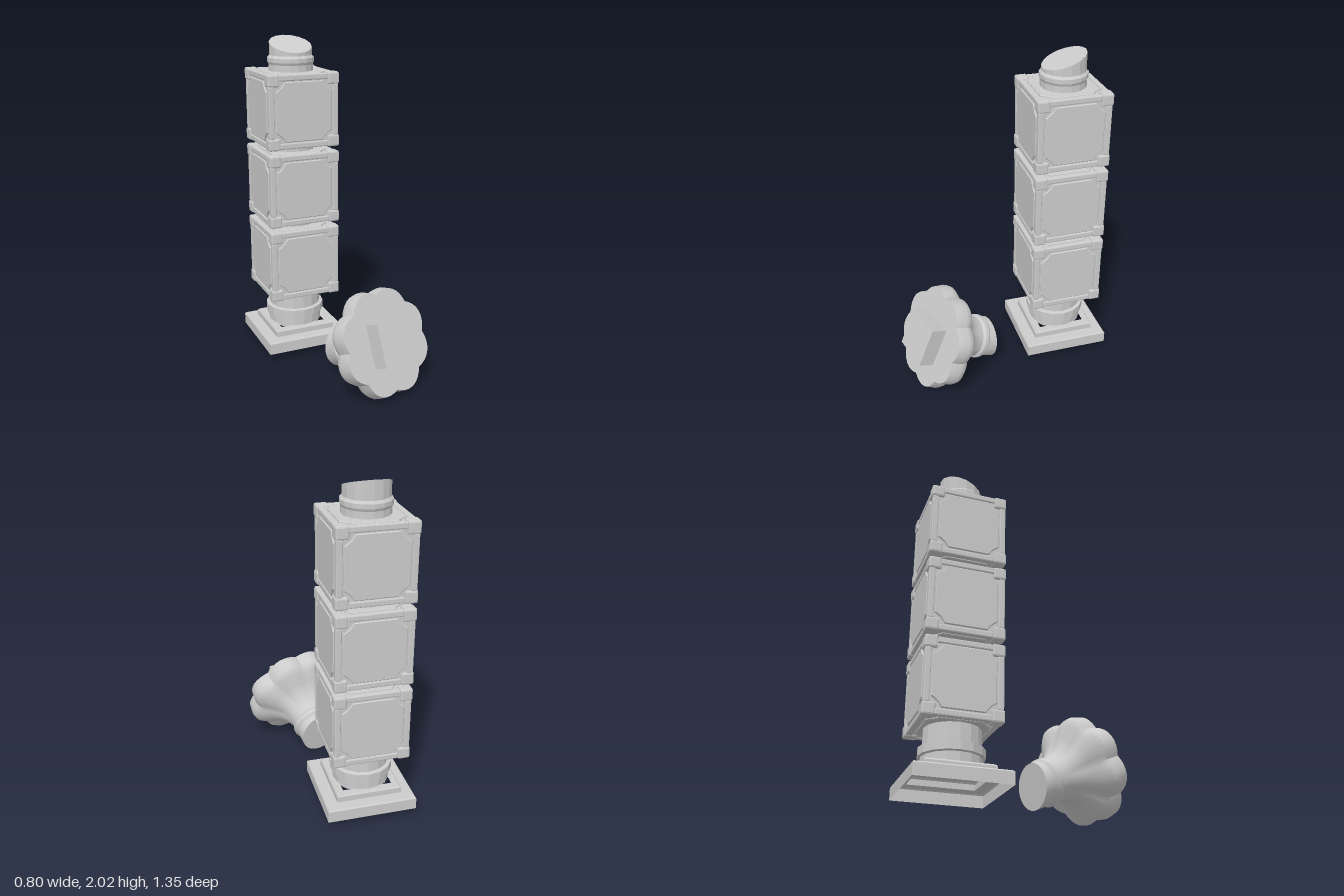
import * as THREE from 'three';
import { toCreasedNormals } from 'three/addons/utils/BufferGeometryUtils.js';
import { RoundedBoxGeometry } from 'three/addons/geometries/RoundedBoxGeometry.js';

const stone = new THREE.MeshStandardMaterial({ color: 0xcccccc, side: THREE.DoubleSide });
const facetedStone = new THREE.MeshStandardMaterial({ color: 0xcccccc, flatShading: true, side: THREE.DoubleSide });

function add(parent, name, geometry, material = facetedStone) {
  const mesh = new THREE.Mesh(geometry, material);
  mesh.name = name;
  parent.add(mesh);
  return mesh;
}

const profile = (pairs) => pairs.map(([r, y]) => new THREE.Vector2(r, y));

// Changes every vertex of a geometry by a rule
function reshape(geometry, rule) {
  const p = geometry.attributes.position;
  const v = new THREE.Vector3();
  for (let i = 0; i < p.count; i++) {
    rule(v.fromBufferAttribute(p, i));
    p.setXYZ(i, v.x, v.y, v.z);
  }
  geometry.computeVertexNormals();
  return geometry;
}

// Raised panel with clipped, notched corners
function panelGeometry() {
  const corner = [[0.178, 0.12], [0.152, 0.138], [0.138, 0.152], [0.12, 0.178]];
  const points = [];
  for (let k = 0; k < 4; k++) {
    for (const [x, y] of corner) {
      points.push(new THREE.Vector2(x, y).rotateAround(new THREE.Vector2(), k * Math.PI / 2));
    }
  }
  return new THREE.ExtrudeGeometry(new THREE.Shape(points), {
    depth: 0.012, bevelEnabled: true, bevelThickness: 0.004, bevelSize: 0.004, bevelSegments: 1,
  }).translate(0, 0, 0.21);
}

// Cube block: recessed core, six panels, twelve edge bars, eight corner caps
function stoneBlock() {
  const block = new THREE.Group();
  block.name = 'stoneBlock';
  add(block, 'core', new THREE.BoxGeometry(0.434, 0.434, 0.434));

  const panel = panelGeometry();
  for (let k = 0; k < 4; k++) add(block, 'sidePanel', panel).rotation.y = k * Math.PI / 2;
  for (const s of [-1, 1]) add(block, 'endPanel', panel).rotation.x = s * Math.PI / 2;

  const bar = new RoundedBoxGeometry(0.318, 0.037, 0.037, 1, 0.007);
  const cap = new RoundedBoxGeometry(0.075, 0.075, 0.075, 1, 0.011);
  for (const a of [-1, 1]) {
    for (const b of [-1, 1]) {
      const u = a * 0.2065, v = b * 0.2065;
      add(block, 'edgeBar', bar).position.set(0, u, v);
      const upright = add(block, 'edgeBar', bar);
      upright.rotation.z = Math.PI / 2;
      upright.position.set(u, 0, v);
      const across = add(block, 'edgeBar', bar);
      across.rotation.y = Math.PI / 2;
      across.position.set(u, v, 0);
      for (const c of [-1, 1]) {
        add(block, 'cornerCap', cap).position.set(a * 0.1925, b * 0.1925, c * 0.1925);
      }
    }
  }
  return block;
}

function brokenColumn() {
  const column = new THREE.Group();
  column.name = 'brokenColumn';

  // Square stepped base, hollow underneath
  const q = Math.SQRT2;
  const base = new THREE.LatheGeometry(profile([
    [0.27 * q, 0.02], [0.27 * q, 0.09], [0.262 * q, 0.098], [0.198 * q, 0.098],
    [0.198 * q, 0.132], [0.19 * q, 0.142], [0.15 * q, 0.142],
  ]), 4, Math.PI / 4);
  add(column, 'steppedBase', base);

  // Round foot with its collar
  add(column, 'columnFoot', new THREE.LatheGeometry(profile([
    [0, 0.13], [0.172, 0.13], [0.172, 0.2], [0.188, 0.205], [0.188, 0.252],
    [0.165, 0.257], [0.162, 0.38],
  ]), 16));

  // Inner shaft, visible between the blocks and ending in a slanted break
  const shaft = new THREE.LatheGeometry(profile([
    [0.14, 0.34], [0.14, 1.75], [0.138, 1.835], [0.145, 1.85], [0.145, 1.875],
    [0.132, 1.89], [0.132, 1.955], [0, 1.955],
  ]), 16);
  reshape(shaft, (v) => { if (v.y > 1.95) v.y -= v.z * 0.34; });
  add(column, 'slantedShaft', shaft);

  for (const y of [0.59, 1.08, 1.57]) {
    const block = stoneBlock();
    block.position.y = y;
    column.add(block);
  }
  column.position.set(-0.14, 0, -0.4);
  return column;
}

function fallenCapital() {
  const capital = new THREE.Group();
  capital.name = 'fallenCapital';

  // Flared bell with eight lobes, from the broken neck to the flat face
  const bell = new THREE.LatheGeometry(profile([
    [0, 0], [0.13, 0], [0.128, 0.07], [0.141, 0.085], [0.141, 0.11], [0.128, 0.125],
    [0.132, 0.16], [0.148, 0.2], [0.175, 0.24], [0.225, 0.28], [0.29, 0.315],
    [0.322, 0.345], [0.33, 0.38], [0.318, 0.45], [0, 0.45],
  ]), 64);
  bell.rotateX(Math.PI / 2);
  reshape(bell, (v) => {
    const lobe = Math.abs(Math.sin(4 * Math.atan2(v.y, v.x)));
    const k = 1 - 0.11 * THREE.MathUtils.smoothstep(v.z, 0.13, 0.33) * (1 - lobe);
    v.x *= k;
    v.y *= k;
    if (v.z < 0.01) v.z += v.y * 0.27;
  });
  add(capital, 'lobedBell', toCreasedNormals(bell, 0.6), stone);

  add(capital, 'squareTenon', new THREE.BoxGeometry(0.255, 0.255, 0.12)).position.z = 0.49;

  capital.rotation.set(-0.4, 0.28, -0.045, 'YXZ');
  capital.position.set(-0.02, 0.13, 0.115);
  return capital;
}

export function createModel() {
  const model = new THREE.Group();
  model.name = 'ruinedColumn';
  model.add(brokenColumn(), fallenCapital());
  return model;
}
